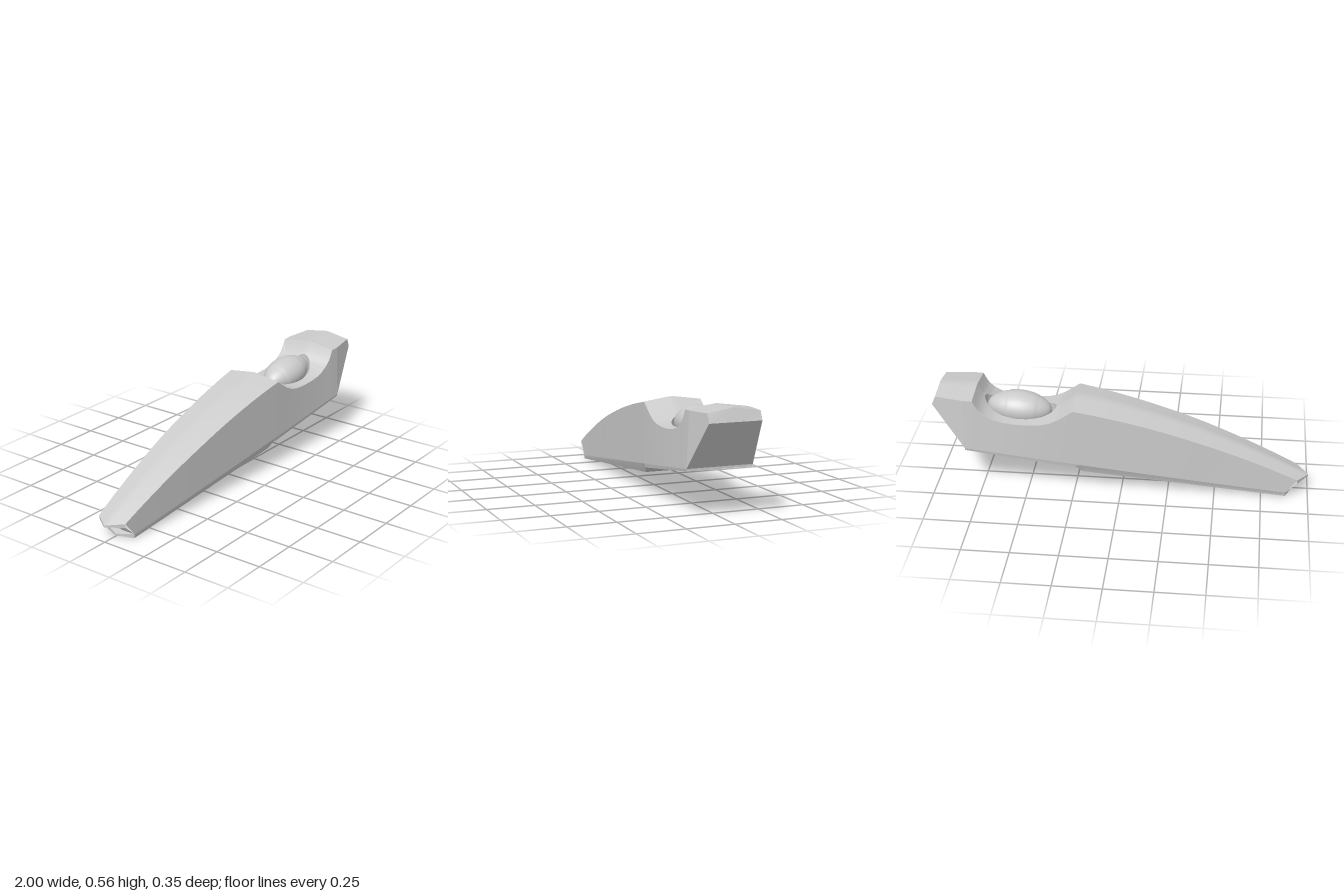
import * as THREE from 'three';

// Piecewise-linear lookup through [x, value] pairs
const lookup = (pts) => (x) => {
  let i = 1;
  while (i < pts.length - 1 && x > pts[i][0]) i++;
  const [x0, y0] = pts[i - 1], [x1, y1] = pts[i];
  return y0 + (y1 - y0) * THREE.MathUtils.clamp((x - x0) / (x1 - x0), 0, 1);
};
const lerp = THREE.MathUtils.lerp;
const range = (a, b, n) => Array.from({ length: n + 1 }, (_, i) => lerp(a, b, i / n));

// Hull measurements along x
const X0 = 0.25, X1 = 0.78, XS = 0.83; // cockpit front, cockpit back, stern crease
const saddle = lookup([[0.25, 0.515], [0.3, 0.474], [0.34, 0.443], [0.38, 0.424], [0.43, 0.413], [0.5, 0.409],
  [0.57, 0.411], [0.63, 0.419], [0.68, 0.434], [0.72, 0.458], [0.75, 0.489], [0.768, 0.522], [0.78, 0.548], [0.98, 0.555]]);
const ridge = (x) => x < X0 ? 0.09 + 0.425 * (x + 1) - 0.131 * (x + 1) * (x + 0.4) : saddle(x);
const drop = lookup([[-1, 0.02], [0.25, 0.022], [0.35, 0.011], [0.7, 0.011], [0.78, 0.022], [0.98, 0.022]]);
const halfWidth = lookup([[-1, 0.08], [-0.94, 0.085], [-0.4, 0.125], [0.25, 0.158], [0.83, 0.163], [0.98, 0.138]]);
const deck = (x, z) => [x, ridge(x) - drop(x) * Math.min(1, Math.abs(z) / halfWidth(x)), z];
const lowerEdge = (x) => {
  const t = (x + 0.88) / 1.71;
  return [x, lerp(0.022, 0.247, t), lerp(0.09, 0.176, t) + 0.008 * Math.sin(Math.PI * t)];
};

export function createModel() {
  const model = new THREE.Group();
  const material = new THREE.MeshStandardMaterial({ color: 0xcccccc, side: THREE.DoubleSide });

  const add = (name, geometry) => {
    const mesh = new THREE.Mesh(geometry, material);
    mesh.name = name;
    model.add(mesh);
    return mesh;
  };
  // Smooth panel through rows of points
  const panel = (name, rows) => {
    const n = rows[0].length, index = [];
    for (let i = 0; i < rows.length - 1; i++) {
      for (let j = 0; j < n - 1; j++) {
        const a = i * n + j, b = a + n;
        index.push(a, b, b + 1, a, b + 1, a + 1);
      }
    }
    const g = new THREE.BufferGeometry();
    g.setAttribute('position', new THREE.Float32BufferAttribute(rows.flat(2), 3));
    g.setIndex(index);
    g.computeVertexNormals();
    return add(name, g);
  };
  const flip = ([x, y, z]) => [x, y, -z];
  const pair = (name, rows) => {
    panel(name + 'Left', rows);
    panel(name + 'Right', rows.map((r) => r.map(flip).reverse()));
  };

  // Long curved foredeck with a pointed prow
  const across = range(1, -1, 8);
  panel('foredeck', range(0, 1, 24).map((s) => across.map((v) => {
    const x = lerp(-1 + 0.06 * Math.abs(v), X0, s);
    return deck(x, v * halfWidth(x));
  })));

  // Raised deck behind the cockpit
  panel('rearDeck', [X1, XS, 0.98].map((x) => across.map((v) => deck(x, v * halfWidth(x)))));

  // Flat flanks and the tapering stern cheeks
  const dipStations = range(X0, X1, 32);
  const stations = [...range(-0.94, X0, 24), ...dipStations.slice(1), XS];
  pair('flank', stations.map((x) => [
    lowerEdge(lerp(-0.88, XS, (x + 0.94) / (XS + 0.94))),
    deck(x, halfWidth(x)),
  ]));
  const sternTop = deck(0.98, 0.138), sternMid = [1, 0.487, 0.138], sternLow = lowerEdge(XS);
  pair('sternCheek', [[sternLow, deck(XS, halfWidth(XS))], [sternMid, sternTop]]);

  // Stern plates
  const keelEnd = [XS, 0.235, 0.173];
  panel('sternPlate', [[sternLow, sternMid], [flip(sternLow), flip(sternMid)]]);
  panel('sternBevel', [[sternMid, sternTop], [[1, 0.487, 0], deck(0.98, 0)], [flip(sternMid), flip(sternTop)]]);
  panel('sternLip', [[keelEnd, sternLow], [flip(keelEnd), flip(sternLow)]]);

  // Stepped underside: belly, step and rear bottom, with chamfers up to the flanks
  const keel = [[-0.88, 0, 0.088], [0.2, 0.115, 0.13], [0.213, 0.122, 0.133], [0.225, 0.138, 0.14], [0.24, 0.148, 0.15], keelEnd];
  const bottom = (name, pts) => {
    panel(name, pts.map((p) => [flip(p), p]));
    pair(name + 'Chamfer', pts.map((p) => [p, lowerEdge(p[0])]));
  };
  bottom('belly', keel.slice(0, 2));
  bottom('bellyStep', keel.slice(1, 5));
  bottom('rearBottom', keel.slice(4));

  // Open nose: upper lip, recessed wall and lower lip
  const topTip = [-1, 0.08, 0], topSide = [-0.94, 0.08, 0.085];
  const lowTip = [-0.92, 0.014, 0], lowSide = lowerEdge(-0.88);
  pair('noseLipEdge', [[topTip, deck(-1, 0)], [topSide, deck(-0.94, 0.085)]]);
  pair('noseLipUnderside', [[topTip, topSide], [[-0.88, 0.08, 0], topSide]]);
  pair('noseWall', [[[-0.88, 0.02, 0], [-0.88, 0.08, 0]], [lowSide, topSide]]);
  pair('lowerLipTop', [[lowSide, lowTip], [lowSide, [-0.88, 0.022, 0]]]);
  pair('lowerLipEdge', [[[-0.92, 0.004, 0], lowTip], [keel[0], lowSide]]);
  pair('lowerLipBottom', [[[-0.92, 0.004, 0], keel[0]], [[-0.88, 0, 0], keel[0]]]);

  // Cockpit saddle: from the hull edge inward to an elliptical opening
  const cx = 0.55, rx = 0.192, rz = 0.105;
  const back = [...dipStations].reverse();
  const rim = [
    ...range(-1, 1, 12).map((v) => [X1, v * halfWidth(X1)]),
    ...back.slice(1).map((x) => [x, halfWidth(x)]),
    ...range(1, -1, 12).slice(1).map((v) => [X0, v * halfWidth(X0)]),
    ...dipStations.slice(1).map((x) => [x, -halfWidth(x)]),
  ];
  const hole = rim.map(([x, z]) => {
    const a = Math.atan2(z / rz, (x - cx) / rx);
    return [cx + rx * Math.cos(a), rz * Math.sin(a)];
  });
  panel('cockpitSaddle', rim.map(([x, z], i) => range(0, 1, 10).map((u) =>
    deck(lerp(hole[i][0], x, u), lerp(hole[i][1], z, u)))));
  panel('cockpitWall', hole.map(([x, z]) => [[x, 0.34, z], deck(x, z)]));
  panel('cockpitFloor', hole.map(([x, z]) => [[cx, 0.34, 0], [x, 0.34, z]]));

  // Egg-shaped canopy with a slightly proud middle band
  const profile = range(-1, 1, 40).map((t) => {
    const band = t > -0.52 && t < 0.36 ? 1 : 0.975;
    return new THREE.Vector2(0.1 * band * Math.pow(Math.max(0, 1 - t * t), 0.56), 0.175 * t);
  });
  const canopyShape = new THREE.LatheGeometry(profile, 40);
  canopyShape.rotateZ(-Math.PI / 2);
  canopyShape.scale(1, 0.88, 1);
  const canopy = add('canopy', canopyShape);
  canopy.position.set(0.555, 0.421, 0);
  canopy.rotation.z = 0.09;

  return model;
}
